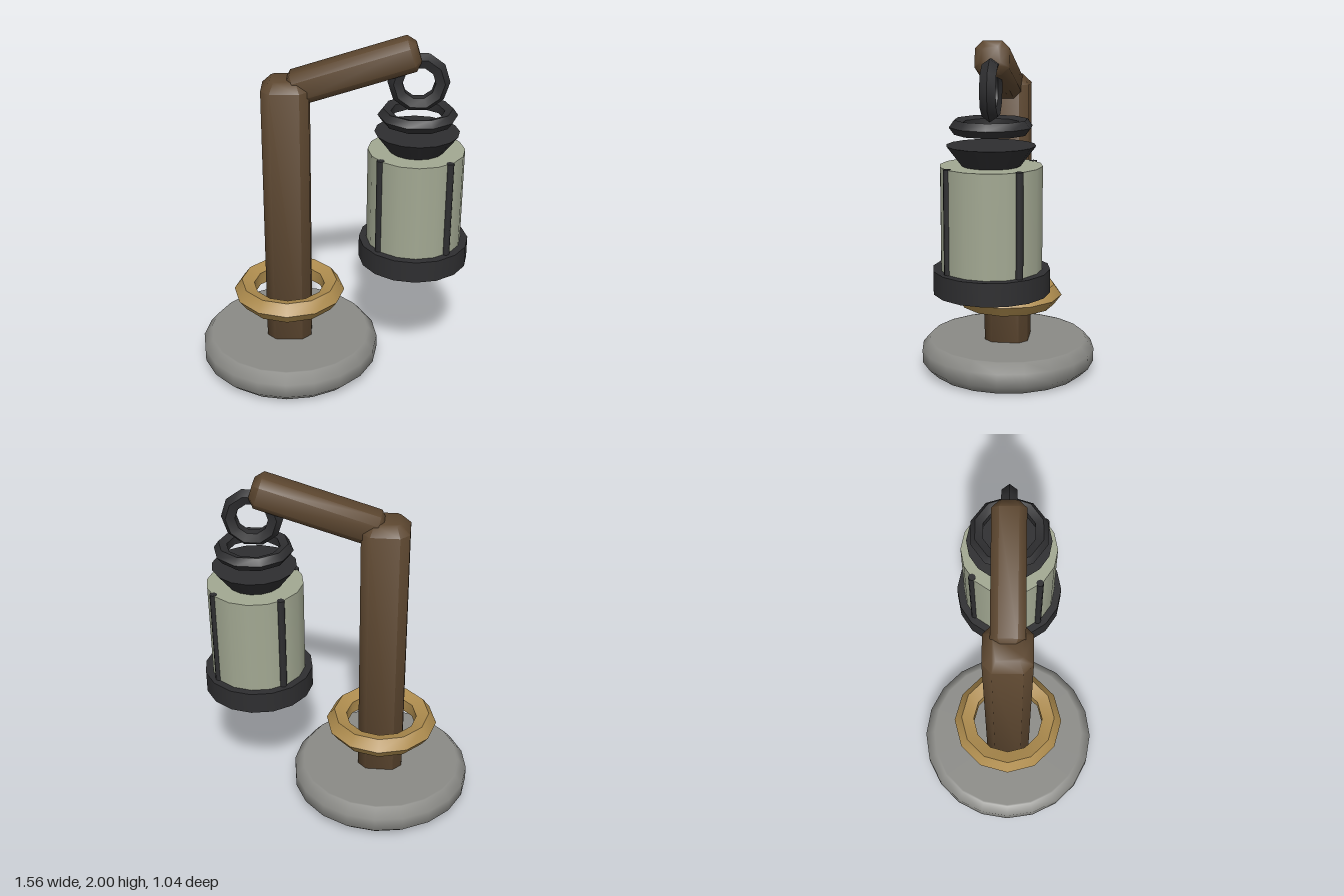
import * as THREE from 'three';
import { toCreasedNormals } from 'three/addons/utils/BufferGeometryUtils.js';

const material = (name, color) => {
  const m = new THREE.MeshStandardMaterial({ color });
  m.name = name;
  return m;
};

// Square bar along z, centred, with every edge chamfered by c
function chamferedBar(width, length, c) {
  const h = width / 2, k = h - c;
  const corners = [[h, -k], [h, k], [k, h], [-k, h], [-h, k], [-h, -k], [-k, -h], [k, -h]];
  const shape = new THREE.Shape(corners.map(([x, y]) => new THREE.Vector2(x, y)));
  const bar = new THREE.ExtrudeGeometry(shape, {
    depth: length - 2 * c, bevelEnabled: true, bevelSegments: 1,
    bevelThickness: c, bevelSize: c, bevelOffset: -c,
  });
  bar.translate(0, 0, c - length / 2);
  return toCreasedNormals(bar, 0.9);
}

// Ring with a five-sided section
const ringGeometry = (radius, tube, segments) =>
  toCreasedNormals(new THREE.TorusGeometry(radius, tube, 5, segments), 0.7);

export function createModel() {
  const wood = material('wood', 0x5d4730);
  const stone = material('stone', 0x8a8a86);
  const iron = material('iron', 0x2e2e30);
  const brass = material('brass', 0xae8c4e);
  const glass = material('glass', 0xa2a892);

  const model = new THREE.Group();
  model.name = 'lanternPost';
  const add = (parent, name, geometry, mat, x = 0, y = 0, z = 0) => {
    const mesh = new THREE.Mesh(geometry, mat);
    mesh.name = name;
    mesh.position.set(x, y, z);
    parent.add(mesh);
    return mesh;
  };

  const postX = -0.26, lanternX = 0.46;

  // Round stone foot with chamfered rims
  const profile = [[0, 0], [0.455, 0], [0.465, 0], [0.522, 0.055], [0.522, 0.135], [0.475, 0.19], [0.465, 0.19], [0, 0.19]];
  const foot = new THREE.LatheGeometry(profile.map(([r, y]) => new THREE.Vector2(r, y)), 20);
  add(model, 'foot', toCreasedNormals(foot, 0.9), stone, postX);

  // Upright post and sloping arm
  const postHeight = 1.675;
  add(model, 'post', chamferedBar(0.26, postHeight, 0.05).rotateX(-Math.PI / 2), wood, postX, 1.775 - postHeight / 2);
  const arm = add(model, 'arm', chamferedBar(0.18, 0.735, 0.04).rotateY(Math.PI / 2), wood, 0.105, 1.818);
  arm.rotation.z = 0.302;

  // Loose brass hoop around the post
  add(model, 'postHoop', ringGeometry(0.26, 0.065, 12).rotateX(Math.PI / 2), brass, postX, 0.463);

  // Hanging lantern
  const lantern = new THREE.Group();
  lantern.name = 'lantern';
  lantern.position.x = lanternX;
  model.add(lantern);
  add(lantern, 'hangingRing', ringGeometry(0.125, 0.044, 10), iron, 0, 1.755);
  add(lantern, 'collarRing', ringGeometry(0.18, 0.04, 10).rotateX(Math.PI / 2), iron, 0, 1.567);
  add(lantern, 'cap', new THREE.CylinderGeometry(0.235, 0.155, 0.105, 16), iron, 0, 1.4175);
  add(lantern, 'glassBody', new THREE.CylinderGeometry(0.27, 0.27, 0.555, 16), glass, 0, 1.0875);
  add(lantern, 'lanternBase', new THREE.CylinderGeometry(0.313, 0.313, 0.125, 16), iron, 0, 0.7525);

  // Four rods set into the glass
  const rod = new THREE.CylinderGeometry(0.021, 0.021, 0.556, 8);
  for (let i = 0; i < 4; i++) {
    const a = 0.7 + i * Math.PI / 2;
    add(lantern, 'rod', rod, iron, 0.265 * Math.cos(a), 1.0885, -0.265 * Math.sin(a));
  }
  return model;
}
